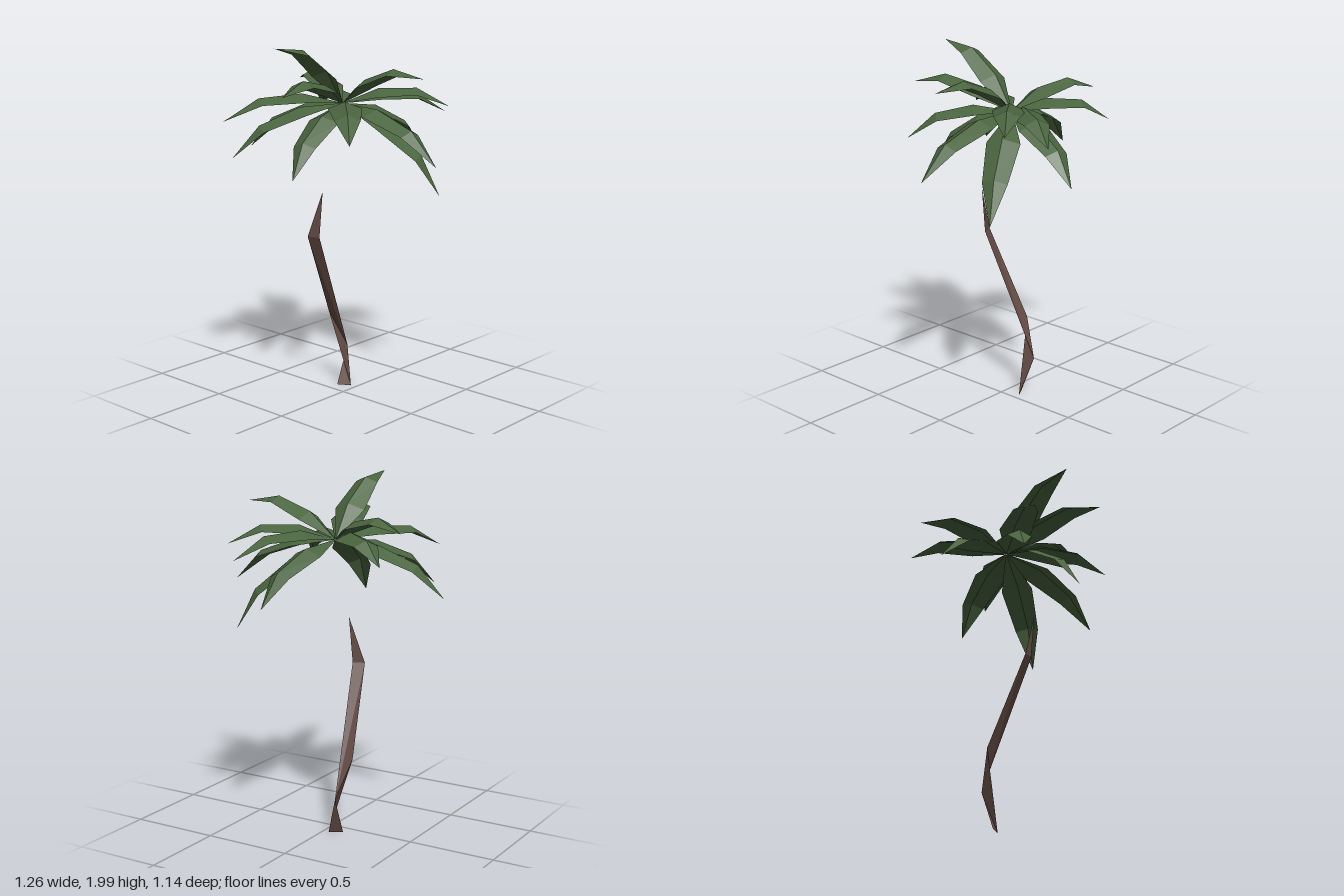
import * as THREE from 'three';

const green = new THREE.MeshStandardMaterial({ color: 0x4a643f, flatShading: true, side: THREE.DoubleSide });
green.name = 'leaf green';
const brown = new THREE.MeshStandardMaterial({ color: 0x644b45, flatShading: true, side: THREE.DoubleSide });
brown.name = 'bark brown';

// Faceted mesh from points and triangle corners
function facets(name, points, faces, material) {
  const geo = new THREE.BufferGeometry().setFromPoints(points);
  geo.setIndex(faces.flat());
  const flat = geo.toNonIndexed();
  flat.computeVertexNormals();
  const mesh = new THREE.Mesh(flat, material);
  mesh.name = name;
  return mesh;
}

const V = (x, y, z) => new THREE.Vector3(x, y, z);
const crown = V(-0.04, 1.655, -0.04);

// Tip of every frond
const tips = [
  [0.09, 1.34, -0.57], [0.265, 1.58, -0.56], [0.415, 1.64, -0.40], [0.43, 1.155, -0.31],
  [0.63, 1.38, -0.02], [0.53, 1.83, -0.03], [0.365, 1.51, 0.355], [0.10, 1.755, 0.57],
  [0.05, 1.30, 0.45], [-0.055, 1.985, 0.47], [-0.375, 1.58, 0.54], [-0.385, 1.37, 0.47],
  [-0.635, 1.36, 0.09], [-0.535, 1.735, -0.215], [-0.49, 1.58, -0.355],
];

// Cross-sections along a frond: position, arch height, half width, fold depth
const sections = [
  [0.01, 0, 0.006, 0.002],
  [0.33, 0.085, 0.092, 0.04],
  [0.69, 0.095, 0.068, 0.032],
  [1, 0, 0, 0],
];

// Arched leaf folded along its midrib
function frond(tip) {
  const chord = V(...tip).sub(crown);
  const side = V(-chord.z, 0, chord.x).normalize();
  const up = side.clone().cross(chord).normalize();
  if (up.y < 0) up.negate();
  const points = [], faces = [];
  sections.forEach(([t, lift, half, fold], i) => {
    const rib = crown.clone().addScaledVector(chord, t).addScaledVector(up, lift);
    for (const s of [-1, 0, 1]) {
      points.push(rib.clone().addScaledVector(side, s * half).addScaledVector(up, -Math.abs(s) * fold));
    }
    if (i === 0) return;
    const b = i * 3, a = b - 3;
    for (const k of [0, 1]) {
      faces.push([a + k, a + k + 1, b + k + 1]);
      if (half > 0) faces.push([a + k, b + k + 1, b + k]);
    }
  });
  return facets('frond', points, faces, green);
}

export function createModel() {
  const model = new THREE.Group();
  model.name = 'palmTree';

  // Trunk: a twisted, bent ribbon tapering to a point
  const trunk = [
    V(-0.105, 0, -0.065), V(-0.035, 0, -0.105),
    V(-0.107, 0.22, -0.155), V(-0.16, 0.435, -0.055),
    V(-0.035, 0.93, 0.155), V(-0.1, 0.93, 0.18),
    V(-0.01, 1.19, 0.155),
  ];
  model.add(facets('trunk', trunk, [[0, 1, 2], [1, 3, 2], [2, 3, 5], [2, 5, 4], [4, 5, 6]], brown));

  // Crown of fronds
  const leaves = new THREE.Group();
  leaves.name = 'crown';
  tips.forEach((tip) => leaves.add(frond(tip)));
  model.add(leaves);
  return model;
}
